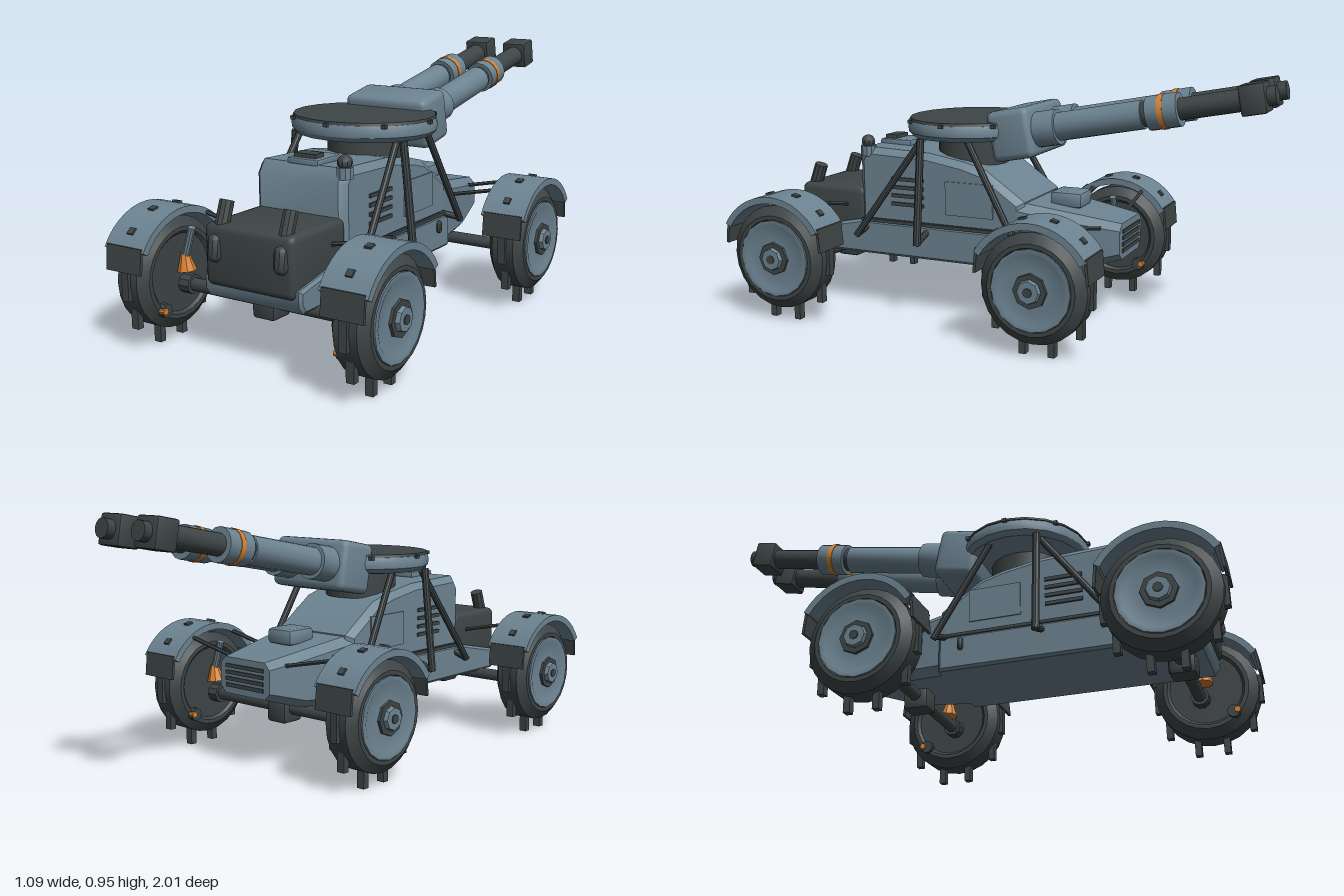
import * as THREE from 'three';
import { toCreasedNormals } from 'three/addons/utils/BufferGeometryUtils.js';
import { RoundedBoxGeometry } from 'three/addons/geometries/RoundedBoxGeometry.js';
import { ConvexGeometry } from 'three/addons/geometries/ConvexGeometry.js';

const paint = (name, color) => Object.assign(new THREE.MeshStandardMaterial({ color }), { name });
const V = (x, y, z) => new THREE.Vector3(x, y, z);

export function createModel() {
  const blue = paint('blue grey armour', 0x6c8391);
  const dark = paint('dark steel', 0x3e4546);
  const orange = paint('orange accent', 0xd68230);
  const model = new THREE.Group();
  model.name = 'twinGunBuggy';

  // Helpers
  const add = (parent, name, geo, mat, x = 0, y = 0, z = 0) => {
    const mesh = new THREE.Mesh(toCreasedNormals(geo, 0.6), mat);
    mesh.name = name;
    mesh.position.set(x, y, z);
    parent.add(mesh);
    return mesh;
  };
  const box = (parent, name, w, h, d, mat, x, y, z) =>
    add(parent, name, new THREE.BoxGeometry(w, h, d), mat, x, y, z);
  const rod = (parent, name, a, b, r, mat, r2 = r, sides = 10) => {
    const dir = b.clone().sub(a);
    const mesh = add(parent, name, new THREE.CylinderGeometry(r2, r, dir.length(), sides), mat);
    mesh.position.copy(a).add(b).multiplyScalar(0.5);
    mesh.quaternion.setFromUnitVectors(V(0, 1, 0), dir.normalize());
    return mesh;
  };
  const lathe = (pts, sides) =>
    new THREE.LatheGeometry(pts.map(([r, y]) => new THREE.Vector2(r, y)), sides);
  // Extrudes a (z, y) outline across x
  const across = (shape, w, bevel = 0) => {
    const geo = new THREE.ExtrudeGeometry(shape, {
      depth: w - 2 * bevel, bevelEnabled: bevel > 0, bevelSize: bevel,
      bevelOffset: -bevel, bevelThickness: bevel, bevelSegments: 1, curveSegments: 7,
    });
    return geo.translate(0, 0, bevel - w / 2).rotateY(-Math.PI / 2);
  };
  const outline = (pts) => new THREE.Shape(pts.map(([z, y]) => new THREE.Vector2(z, y)));

  // Hull
  const hull = new THREE.Group();
  hull.name = 'hull';
  model.add(hull);
  add(hull, 'lowerHull', across(outline([[-0.1, 0.22], [0.85, 0.22], [0.87, 0.25], [0.87, 0.3],
    [0.6, 0.355], [-0.1, 0.355]]), 0.405, 0.01), blue);
  add(hull, 'upperHull', across(outline([[-0.1, 0.34], [0.605, 0.34], [0.605, 0.6], [0.575, 0.645],
    [0.3, 0.635], [0.15, 0.61], [0.06, 0.585], [-0.1, 0.475]]), 0.38, 0.025), blue);
  const section = (z, w, y0, y1, c) => [
    V(w, y0 + c, z), V(w, y1 - c, z), V(w - c, y1, z), V(c - w, y1, z),
    V(-w, y1 - c, z), V(-w, y0 + c, z), V(c - w, y0, z), V(w - c, y0, z)];
  add(hull, 'engineNose', new ConvexGeometry([
    ...section(-0.07, 0.19, 0.22, 0.475, 0.03), ...section(-0.3, 0.155, 0.23, 0.44, 0.03),
    ...section(-0.46, 0.125, 0.28, 0.415, 0.025)]), blue);
  for (let i = 0; i < 4; i++) {
    box(hull, 'rearGrilleSlot', 0.19, 0.014, 0.008, dark, 0, 0.312 + i * 0.024, -0.461);
  }
  add(hull, 'engineHatch', new RoundedBoxGeometry(0.12, 0.06, 0.13, 1, 0.015), blue, 0, 0.475, -0.22);
  add(hull, 'roofHatch', new RoundedBoxGeometry(0.13, 0.025, 0.14, 1, 0.008), blue, 0, 0.65, 0.51);
  box(hull, 'hatchHandle', 0.09, 0.02, 0.05, dark, 0, 0.667, 0.54);
  rod(hull, 'beaconBase', V(0.17, 0.61, 0.57), V(0.17, 0.65, 0.57), 0.03, blue);
  add(hull, 'beacon', new THREE.SphereGeometry(0.027, 10, 8), dark, 0.17, 0.665, 0.57);
  rod(hull, 'turretPedestal', V(0, 0.59, 0.19), V(0, 0.7, 0.19), 0.14, dark, 0.14, 16);

  // Front engine box with stacks
  add(hull, 'frontBox', new RoundedBoxGeometry(0.37, 0.215, 0.3, 2, 0.025), dark, 0, 0.373, 0.735);
  for (const s of [1, -1]) {
    rod(hull, 'exhaustStack', V(s * 0.132, 0.44, 0.86), V(s * 0.132, 0.55, 0.82), 0.026, dark);
    const lamp = add(hull, 'frontBumperPod', new THREE.CapsuleGeometry(0.027, 0.045, 3, 10), dark, s * 0.137, 0.4, 0.88);
    lamp.rotation.x = -0.15;

    // Side details and turret supports
    for (let i = 0; i < 4; i++) {
      box(hull, 'sideLouvre', 0.012, 0.014, 0.14, dark, s * 0.192, 0.43 + i * 0.033, 0.385);
    }
    box(hull, 'sidePanel', 0.008, 0.13, 0.2, blue, s * 0.191, 0.47, 0.12);
    box(hull, 'sideRail', 0.012, 0.012, 0.66, dark, s * 0.198, 0.357, 0.26);
    add(hull, 'towHook', new THREE.CapsuleGeometry(0.012, 0.025, 3, 8), dark, s * 0.207, 0.315, -0.01);
    rod(hull, 'mainStrut', V(s * 0.235, 0.7, 0.3), V(s * 0.278, 0.295, 0.3), 0.015, dark);
    rod(hull, 'frontStrut', V(s * 0.21, 0.69, 0.31), V(s * 0.243, 0.3, 0.59), 0.013, dark);
    rod(hull, 'rearStrut', V(s * 0.22, 0.7, 0.11), V(s * 0.25, 0.33, -0.1), 0.013, dark);
    rod(hull, 'strutBrace', V(s * 0.18, 0.335, 0.3), V(s * 0.277, 0.3, 0.3), 0.012, dark);
    rod(hull, 'hullBrace', V(s * 0.18, 0.34, 0.56), V(s * 0.243, 0.3, 0.59), 0.012, dark);
    rod(hull, 'rearBrace', V(s * 0.17, 0.36, -0.06), V(s * 0.25, 0.34, -0.095), 0.012, dark);
  }

  // Turret platform: oval rounded ring with a dark deck
  const turret = new THREE.Group();
  turret.name = 'turret';
  model.add(turret);
  const ring = add(turret, 'turretRing', lathe([[0, -0.035], [0.225, -0.035], [0.26, -0.03], [0.277, -0.012],
    [0.28, 0.01], [0.272, 0.03], [0.255, 0.037], [0, 0.037]], 20), blue, 0, 0.728, 0.19);
  ring.scale.z = 0.89;
  const deck = add(turret, 'turretDeck', new THREE.CylinderGeometry(0.272, 0.276, 0.01, 20), dark, 0, 0.764, 0.19);
  deck.scale.z = 0.89;
  for (let i = 0; i < 8; i++) {
    const a = (i * Math.PI) / 4;
    box(turret, 'ringStud', 0.016, 0.014, 0.016, dark, Math.sin(a) * 0.277, 0.757, 0.19 + Math.cos(a) * 0.247);
  }

  // Twin guns, built along local -z and tilted upwards
  const guns = new THREE.Group();
  guns.name = 'guns';
  guns.position.set(0, 0.725, -0.04);
  guns.rotation.x = 0.19;
  model.add(guns);
  add(guns, 'gunMantle', new RoundedBoxGeometry(0.355, 0.19, 0.17, 2, 0.025), blue);
  const barrelParts = [
    ['barrelCollar', 0.05, 0.17, 0.067, blue],
    ['barrelSleeve', 0.16, 0.5, 0.053, blue],
    ['barrelNeck', 0.5, 0.525, 0.046, dark],
    ['frontSleeve', 0.52, 0.635, 0.062, blue],
    ['orangeBand', 0.565, 0.585, 0.0645, orange],
    ['innerBarrel', 0.6, 0.9, 0.04, dark],
    ['muzzleTip', 0.9, 0.976, 0.034, dark],
  ];
  for (const s of [1, -1]) {
    for (const [name, a, b, r, mat] of barrelParts) {
      rod(guns, name, V(s * 0.092, 0, -a), V(s * 0.092, 0, -b), r, mat, r, 16);
    }
    add(guns, 'muzzleBrake', new RoundedBoxGeometry(0.107, 0.107, 0.09, 1, 0.008), dark, s * 0.092, 0, -0.9);
  }

  // Fender arc outline, centred on the wheel hub
  const fender = new THREE.Shape();
  fender.absarc(0, 0, 0.24, 0.53, Math.PI - 0.53, false);
  fender.absarc(0, 0, 0.215, Math.PI - 0.53, 0.53, true);

  // Axles, wheels and fenders
  for (const [end, z] of [['front', 0.785], ['rear', -0.275]]) {
    const e = end === 'front' ? 1 : -1;
    const az = z - 0.02 * e;
    rod(model, end + 'Axle', V(-0.39, 0.207, az), V(0.39, 0.207, az), 0.024, dark, 0.024, 12);
    add(model, end + 'Differential', new RoundedBoxGeometry(0.094, 0.09, 0.1, 1, 0.015), dark, 0, 0.197, az);
    for (const s of [1, -1]) {
      const unit = new THREE.Group();
      unit.name = end + (s > 0 ? 'Left' : 'Right') + 'Wheel';
      unit.position.set(s * 0.445, 0.25, z);
      model.add(unit);
      const spin = (mesh) => { mesh.rotation.z = -s * Math.PI / 2; return mesh; };
      spin(add(unit, 'tyre', lathe([[0, -0.06], [0.14, -0.06], [0.15, -0.07], [0.165, -0.07], [0.2, -0.043],
        [0.2, 0.043], [0.165, 0.07], [0.15, 0.07], [0.14, 0.06], [0, 0.06]], 24), dark));
      spin(add(unit, 'rimDisc', lathe([[0.148, 0.058], [0.148, 0.074], [0.13, 0.074], [0.115, 0.066],
        [0.06, 0.07], [0, 0.07]], 16), blue));
      spin(add(unit, 'hubRing', new THREE.CylinderGeometry(0.063, 0.065, 0.02, 8), dark, s * 0.07, 0, 0));
      spin(add(unit, 'hubCap', new THREE.CylinderGeometry(0.04, 0.048, 0.03, 8), blue, s * 0.08, 0, 0));
      spin(add(unit, 'hubBolt', new THREE.CylinderGeometry(0.017, 0.017, 0.006, 8), dark, s * 0.096, 0, 0));
      // Ground spikes and tread lugs
      for (const d of [1, -1]) {
        box(unit, 'groundSpike', 0.03, 0.08, 0.025, dark, 0, -0.21, d * 0.055);
        box(unit, 'sideSpike', 0.03, 0.1, 0.025, dark, 0, -0.12, d * 0.16);
        box(unit, 'treadLug', 0.03, 0.11, 0.02, dark, 0, -0.005, d * 0.2);
        const flap = box(unit, 'mudFlap', 0.157, 0.09, 0.01, dark, 0, 0.088, d * 0.206);
        flap.rotation.x = -d * 0.1;
      }
      add(unit, 'fender', across(fender, 0.178), blue);
      for (const a of [-0.75, -0.25, 0.25, 0.75]) {
        const bolt = box(unit, 'fenderBolt', 0.025, 0.014, 0.025, dark, 0, Math.cos(a) * 0.24, Math.sin(a) * 0.24);
        bolt.rotation.x = a;
      }
      // Suspension on the inner side
      rod(unit, 'damper', V(-s * 0.085, 0.06, 0), V(-s * 0.12, 0.17, 0), 0.014, blue);
      rod(unit, 'damperBoot', V(-s * 0.09, 0.01, 0), V(-s * 0.082, 0.075, 0), 0.034, orange, 0.014, 8);
      rod(unit, 'brakeMount', V(-s * 0.06, -0.11, 0.1 * e), V(-s * 0.085, -0.11, 0.1 * e), 0.025, dark);
      rod(unit, 'brakeNipple', V(-s * 0.07, -0.108, 0.115 * e), V(-s * 0.093, -0.108, 0.115 * e), 0.012, orange);
      spin(add(unit, 'axleCollar', new THREE.CylinderGeometry(0.036, 0.036, 0.05, 10), dark, -s * 0.08, -0.043, -0.02 * e));
      // Fender stays
      const stays = e > 0 ? [-0.115] : [-0.11, 0.1];
      for (const dz of stays) {
        rod(model, end + 'FenderStay', V(s * 0.37, 0.448, z + dz), V(s * 0.12, 0.395, z + dz), 0.008, dark, 0.008, 6);
      }
    }
  }
  return model;
}
